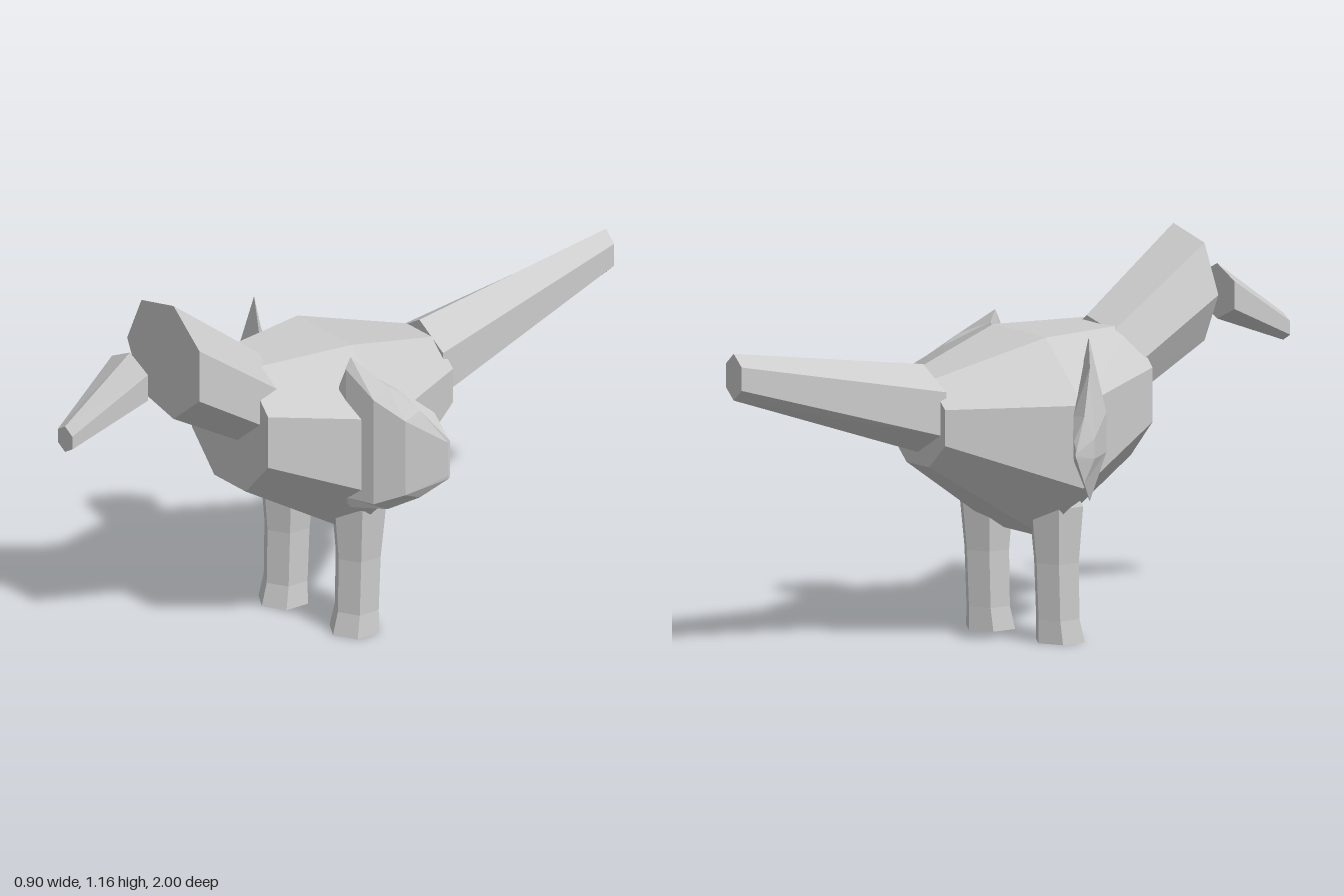
import * as THREE from 'three';

// Ring of n points [a, b] on an ellipse, starting at angle `start`
function ring(n, start, ca, cb, ra, rb) {
  return Array.from({ length: n }, (_, i) => {
    const t = start + (i * 2 * Math.PI) / n;
    return [ca + ra * Math.cos(t), cb + rb * Math.sin(t)];
  });
}

// Capped skin over equal-length rings of [x, y, z], always facing outwards
function loft(rings) {
  const tris = [];
  const n = rings[0].length;
  const last = rings[rings.length - 1];
  for (let k = 0; k < rings.length - 1; k++) {
    for (let i = 0; i < n; i++) {
      const j = (i + 1) % n;
      const [a, b, c, d] = [rings[k][i], rings[k][j], rings[k + 1][j], rings[k + 1][i]];
      tris.push([a, b, c], [a, c, d]);
    }
  }
  for (let i = 1; i < n - 1; i++) {
    tris.push([rings[0][0], rings[0][i + 1], rings[0][i]]);
    tris.push([last[0], last[i], last[i + 1]]);
  }
  const volume = tris.reduce((sum, t) => {
    const [a, b, c] = t.map((p) => new THREE.Vector3(...p));
    return sum + a.dot(b.cross(c));
  }, 0);
  if (volume < 0) tris.forEach((t) => t.reverse());
  const geometry = new THREE.BufferGeometry();
  geometry.setAttribute('position', new THREE.Float32BufferAttribute(tris.flat(2), 3));
  geometry.computeVertexNormals();
  return geometry;
}

// Rings standing across the z axis: each section is [z, centreY, radiusX, radiusY]
const loftZ = (n, start, sections) =>
  loft(sections.map(([z, cy, rx, ry]) => ring(n, start, 0, cy, rx, ry).map(([x, y]) => [x, y, z])));

export function createModel() {
  const group = new THREE.Group();
  const grey = new THREE.MeshStandardMaterial({ color: 0xcccccc, flatShading: true });
  grey.name = 'plain grey';
  const add = (name, geometry) => {
    const mesh = new THREE.Mesh(geometry, grey);
    mesh.name = name;
    group.add(mesh);
  };

  // Body: octagonal barrel with flat sides
  const k = 1 / Math.cos(Math.PI / 8);
  add('body', loftZ(8, Math.PI / 8, [
    [0.39, 0.708, 0.185 * k, 0.197 * k],
    [0.04, 0.61, 0.32 * k, 0.3 * k],
    [-0.33, 0.68, 0.137 * k, 0.13 * k],
  ]));

  // Neck: seven sides, widening forwards
  add('neck', loftZ(7, Math.PI, [
    [0.31, 0.77, 0.156, 0.156],
    [0.63, 0.98, 0.185, 0.187],
  ]));

  // Beak, set apart in front of the neck
  add('beak', loftZ(6, Math.PI / 2, [
    [0.76, 0.95, 0.101, 0.083],
    [1, 0.818, 0.041, 0.041],
  ]));

  // Tail
  add('tail', loftZ(6, Math.PI / 2, [
    [-0.31, 0.715, 0.133, 0.134],
    [-1, 0.886, 0.046, 0.07],
  ]));

  // Legs: [y, z centre, radius], the right one a little ahead
  const legSections = [
    [0, 0.042, 0.079], [0.07, 0.033, 0.07], [0.24, 0.028, 0.072], [0.41, 0.026, 0.088],
  ];
  for (const [name, side, ahead] of [['leftLeg', 1, 0], ['rightLeg', -1, 0.04]]) {
    add(name, loft(legSections.map(([y, cz, r]) =>
      ring(6, Math.PI / 2, side * 0.147, cz + ahead, r, r).map(([x, z]) => [x, y, z]))));
  }

  // Wings: lens-shaped columns [x, bottom, top, front z, back z];
  // `spread` is how far the front and back facets reach towards the rim
  function wing(columns, spread) {
    return loft(columns.map(([x, low, high, front, back]) => {
      const mid = (low + high) / 2;
      const h = ((high - low) / 2) * spread;
      const rim = (front + back) / 2;
      return [
        [x, high, rim], [x, mid + h, front], [x, mid - h, front],
        [x, low, rim], [x, mid - h, back], [x, mid + h, back],
      ];
    }));
  }
  add('leftWing', wing([
    [0.2, 0.47, 0.83, 0.145, 0.13],
    [0.235, 0.445, 0.93, 0.14, 0.105],
    [0.33, 0.455, 0.85, 0.11, 0.005],
    [0.4, 0.5, 0.78, 0.045, -0.062],
    [0.45, 0.56, 0.685, -0.075, -0.082],
  ], 0.85));
  add('rightWing', wing([
    [-0.19, 0.48, 0.835, 0.14, 0.13],
    [-0.285, 0.445, 0.93, 0.125, 0.045],
    [-0.36, 0.455, 0.855, 0.095, -0.025],
    [-0.425, 0.525, 0.725, 0.005, -0.07],
    [-0.45, 0.605, 0.635, -0.075, -0.082],
  ], 0.3));

  return group;
}
